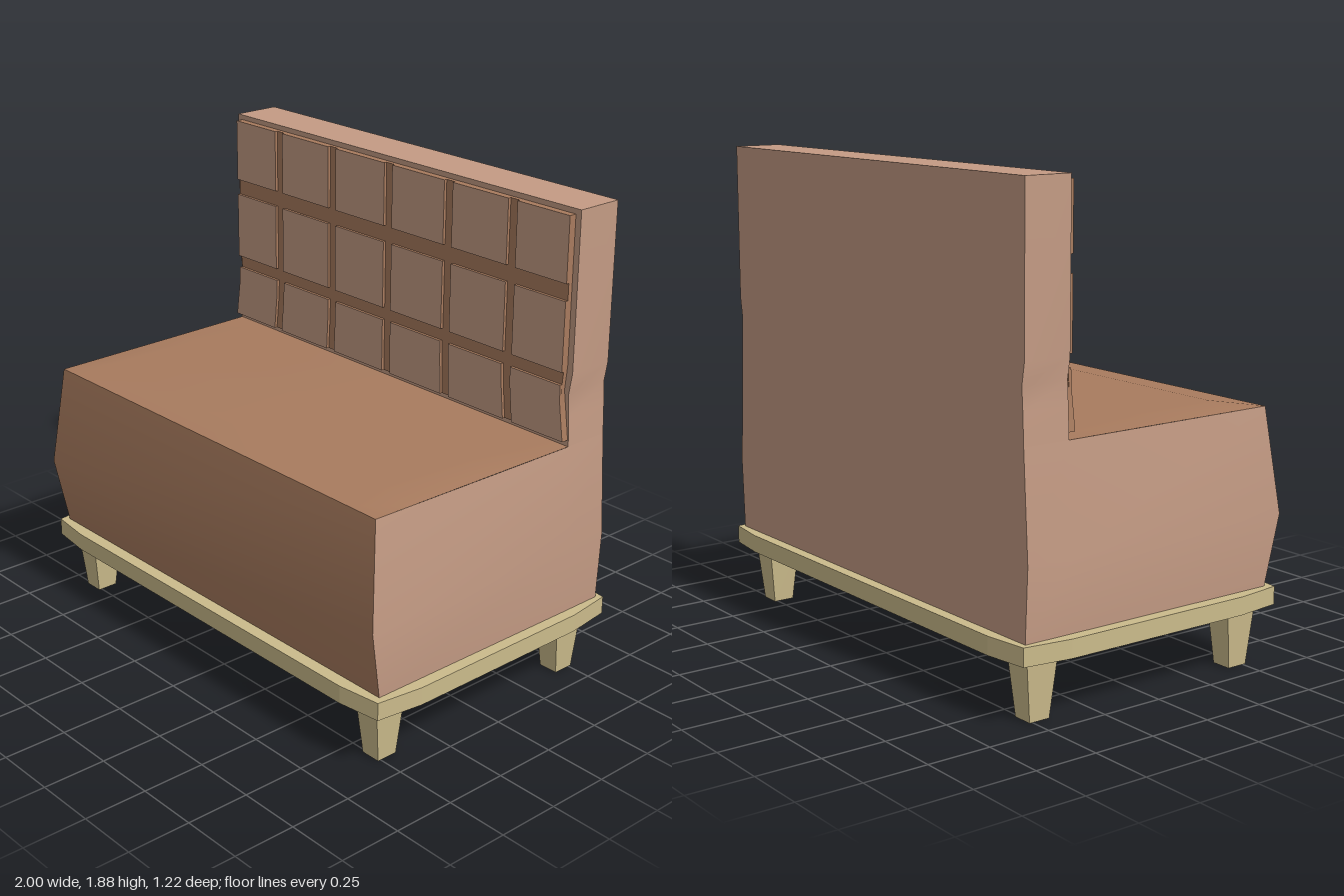
import * as THREE from 'three';

const upholstery = new THREE.MeshStandardMaterial({ color: 0xc49b84 });
upholstery.name = 'lightUpholstery';
const leather = new THREE.MeshStandardMaterial({ color: 0xa87b5e });
leather.name = 'brownLeather';
const wood = new THREE.MeshStandardMaterial({ color: 0xcbbb8b });
wood.name = 'paleWood';

// Smooth surface through rows of points; faces along (column x row)
function sheet(rows) {
  const n = rows[0].length, index = [];
  for (let i = 0; i < rows.length - 1; i++) {
    for (let j = 0; j < n - 1; j++) {
      const a = i * n + j, b = a + 1, c = a + n, d = c + 1;
      index.push(a, b, d, a, d, c);
    }
  }
  const g = new THREE.BufferGeometry();
  g.setAttribute('position', new THREE.Float32BufferAttribute(rows.flat(2), 3));
  g.setIndex(index);
  g.computeVertexNormals();
  return g;
}

// Horizontal squeeze of the backrest cushion near its waist
function waist(y) {
  if (y > 1.275) return 1;
  return y > 1.2 ? 0.99 + 0.01 * (y - 1.2) / 0.075 : 0.99 + 0.03 * (1.2 - y) / 0.19;
}

function squeeze(geometry, y0) {
  const p = geometry.attributes.position;
  for (let i = 0; i < p.count; i++) p.setX(i, p.getX(i) * waist(p.getY(i) + y0));
  geometry.computeVertexNormals();
  return geometry;
}

export function createModel() {
  const group = new THREE.Group();
  const add = (name, geometry, material, x = 0, y = 0, z = 0) => {
    const m = new THREE.Mesh(geometry, material);
    m.name = name;
    m.position.set(x, y, z);
    group.add(m);
    return m;
  };

  // Levels: y, half width at the front, half width at the back, front z
  const seat = [
    [0.30, 0.95, 0.955, 0.56],
    [0.58, 0.968, 0.968, 0.612],
    [0.985, 0.925, 0.943, 0.565],
  ];
  const back = [
    [0.985, 0.943], [1.1, 0.938], [1.19, 0.932], [1.27, 0.945], [1.88, 0.945],
  ];
  const zMid = -0.375, zBack = -0.568;

  // Side panels
  for (const s of [1, -1]) {
    const order = row => (s > 0 ? row : row.reverse());
    add('seatSide', sheet(seat.map(([y, wf, wb, zf]) =>
      order([[s * wf, y, zf], [s * wb, y, zMid], [s * wb, y, zBack]]))), upholstery);
    add('backrestSide', sheet(back.map(([y, w]) =>
      order([[s * w, y, zMid], [s * w, y, zBack]]))), upholstery);
  }

  // Backrest front, rear and top
  add('backrestFront', sheet(back.map(([y, w]) => [[-w, y, zMid], [w, y, zMid]])), upholstery);
  const rear = [...seat.slice(0, 2).map(([y, , w]) => [y, w]), ...back];
  add('backrestRear', sheet(rear.map(([y, w]) => [[w, y, zBack], [-w, y, zBack]])), upholstery);
  add('backrestTop', sheet([zMid, zBack].map(z => [[-0.945, 1.88, z], [0.945, 1.88, z]])), upholstery);

  // Seat front and gently domed seat top
  add('seatFront', sheet(seat.map(([y, w, , z]) => [[-w, y, z], [w, y, z]])), leather);
  const dome = [[0.565, 0.925, 0], [0.4, 0.928, 0.02], [0, 0.935, 0.016], [zMid, 0.943, 0]];
  add('seatTop', sheet(dome.map(([z, w, h]) =>
    [-1, -0.85, 0, 0.85, 1].map(k => [k * w, 0.985 + (Math.abs(k) < 1 ? h : 0), z]))), leather);

  // Brown cushion behind the pads
  const slabY = 1.435;
  add('backrestCushion', squeeze(new THREE.BoxGeometry(1.84, 0.85, 0.018, 1, 9, 1), slabY),
    leather, 0, slabY, -0.366);

  // Grid of raised square pads with light faces
  const grooves = [-0.942, -0.65, -0.325, 0, 0.325, 0.65, 0.942];
  const padRows = [[1.01, 1.225], [1.275, 1.545], [1.61, 1.86]];
  const padMaterials = [leather, leather, leather, leather, upholstery, leather];
  for (const [y0, y1] of padRows) {
    for (let i = 0; i < 6; i++) {
      const x0 = grooves[i] + 0.022, x1 = grooves[i + 1] - 0.022, cy = (y0 + y1) / 2;
      const pad = new THREE.BoxGeometry(x1 - x0, y1 - y0, 0.012, 1, 3, 1);
      pad.translate((x0 + x1) / 2, 0, 0);
      add('backrestPad', squeeze(pad, cy), padMaterials, 0, cy, -0.351);
    }
  }

  // Wooden base plate with clipped corners
  const outline = [[0.8, 0.612], [0.975, 0.59], [1, 0.4], [1, -0.4], [0.975, -0.59], [0.8, -0.612]];
  const mirrored = outline.map(([x, z]) => [-x, z]).reverse();
  const plate = new THREE.ExtrudeGeometry(
    new THREE.Shape([...outline, ...mirrored].map(([x, z]) => new THREE.Vector2(x, z))),
    { depth: 0.07, bevelEnabled: false });
  plate.rotateX(-Math.PI / 2);
  add('basePlate', plate, wood, 0, 0.235, 0);

  // Tapered legs
  const legShape = new THREE.BoxGeometry(0.112, 0.236, 0.136);
  const p = legShape.attributes.position;
  for (let i = 0; i < p.count; i++) {
    if (p.getY(i) < 0) p.setXYZ(i, p.getX(i) * 0.72, p.getY(i), p.getZ(i) * 0.63);
  }
  legShape.computeVertexNormals();
  for (const x of [-0.87, 0.858]) {
    for (const z of [-0.47, 0.47]) add('leg', legShape, wood, x, 0.118, z);
  }

  return group;
}
